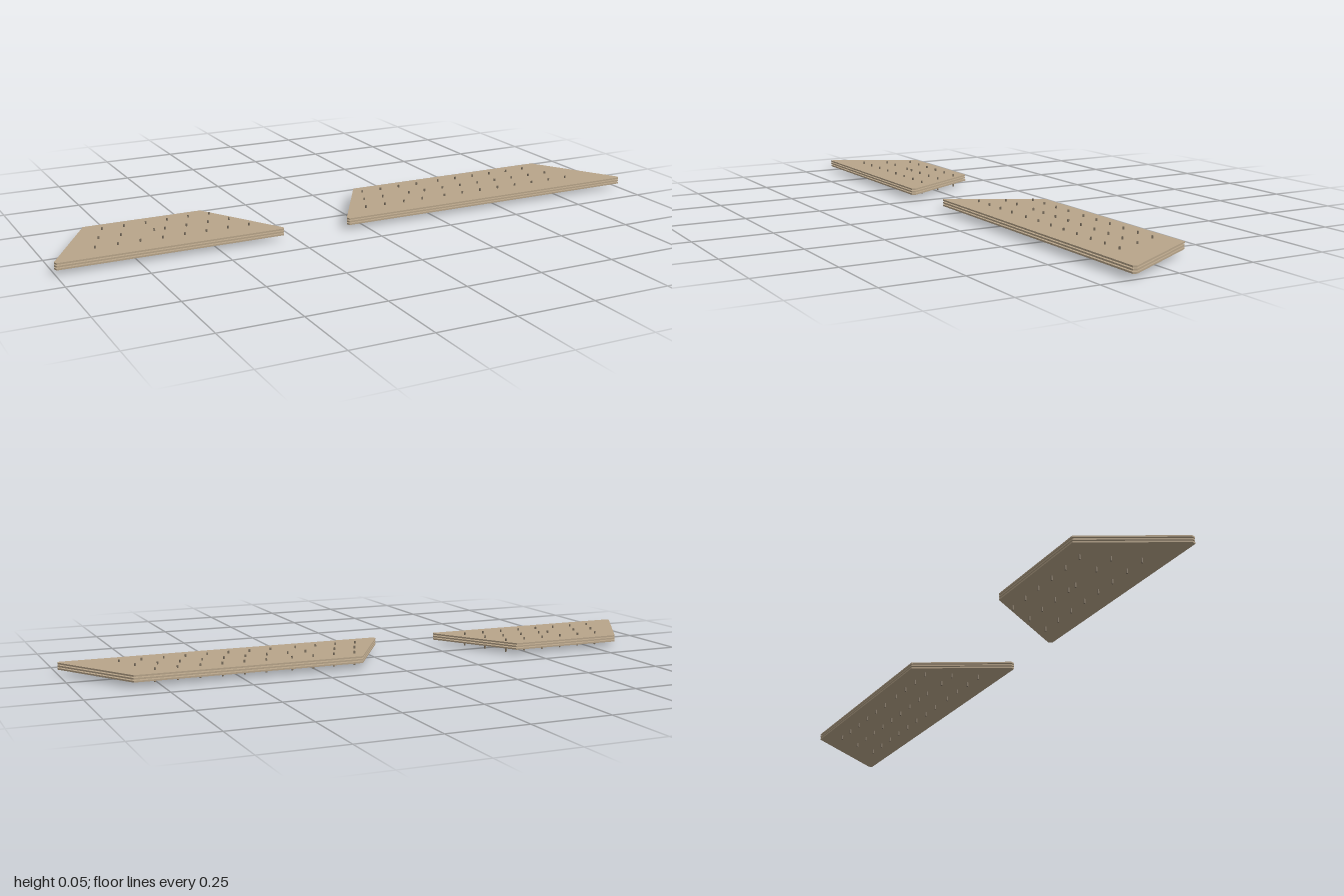
import * as THREE from 'three';

const plankMaterial = new THREE.MeshStandardMaterial({ color: 0xb8a58a });
const pinMaterial = new THREE.MeshStandardMaterial({ color: 0x857866 });

const LAYERS = [0.0175, 0.026, 0.0345]; // centre height of each sheet
const THICK = 0.005;
const HALF_DEPTH = 0.147;
const CLIP_Z = 0.135; // the sharp front corners are cut square here

// evenly spaced positions along a row
const run = (start, count, step = 0.07) => Array.from({ length: count }, (_, i) => start + i * step);

// Trapezoid sheet, wide at the front, lying flat
function sheetGeometry(frontL, frontR, backL, backR) {
  const shape = new THREE.Shape([
    [frontL + 0.004, -HALF_DEPTH], [frontR - 0.004, -HALF_DEPTH], [frontR, -CLIP_Z],
    [backR, HALF_DEPTH], [backL, HALF_DEPTH], [frontL, -CLIP_Z],
  ].map(([x, y]) => new THREE.Vector2(x, y)));
  const geometry = new THREE.ExtrudeGeometry(shape, { depth: THICK, bevelEnabled: false });
  geometry.rotateX(-Math.PI / 2);
  geometry.translate(0, -THICK / 2, 0);
  return geometry;
}

// Three stacked sheets held together by rows of pins
function createPanel(name, outline, rows) {
  const panel = new THREE.Group();
  panel.name = name;

  const sheet = sheetGeometry(...outline);
  LAYERS.forEach((y, i) => {
    const mesh = new THREE.Mesh(sheet, plankMaterial);
    mesh.name = ['bottomSheet', 'middleSheet', 'topSheet'][i];
    mesh.position.y = y;
    panel.add(mesh);
  });

  const pin = new THREE.CylinderGeometry(0.003, 0.003, 0.045, 12);
  const pins = new THREE.Group();
  pins.name = 'pins';
  for (const [z, xs] of rows) {
    for (const x of xs) {
      const mesh = new THREE.Mesh(pin, pinMaterial);
      mesh.name = 'pin';
      mesh.position.set(x, 0.0225, z);
      pins.add(mesh);
    }
  }
  panel.add(pins);
  return panel;
}

export function createModel() {
  const model = new THREE.Group();
  model.name = 'pinnedPanels';

  // Short panel
  model.add(createPanel('shortPanel', [-1, -0.283, -0.835, -0.45], [
    [-0.093, run(-0.79, 6)],
    [-0.012, [...run(-0.825, 2), ...run(-0.65, 1), ...run(-0.615, 4)]],
    [0.068, run(-0.86, 8)],
  ]));

  // Long panel
  model.add(createPanel('longPanel', [-0.064, 1, 0.104, 0.832], [
    [-0.093, [...run(0.11, 4), ...run(0.405, 6)]],
    [-0.012, [...run(0.075, 2), ...run(0.245, 1), ...run(0.305, 8)]],
    [0.068, [...run(0.04, 4), ...run(0.335, 8)]],
  ]));

  return model;
}
